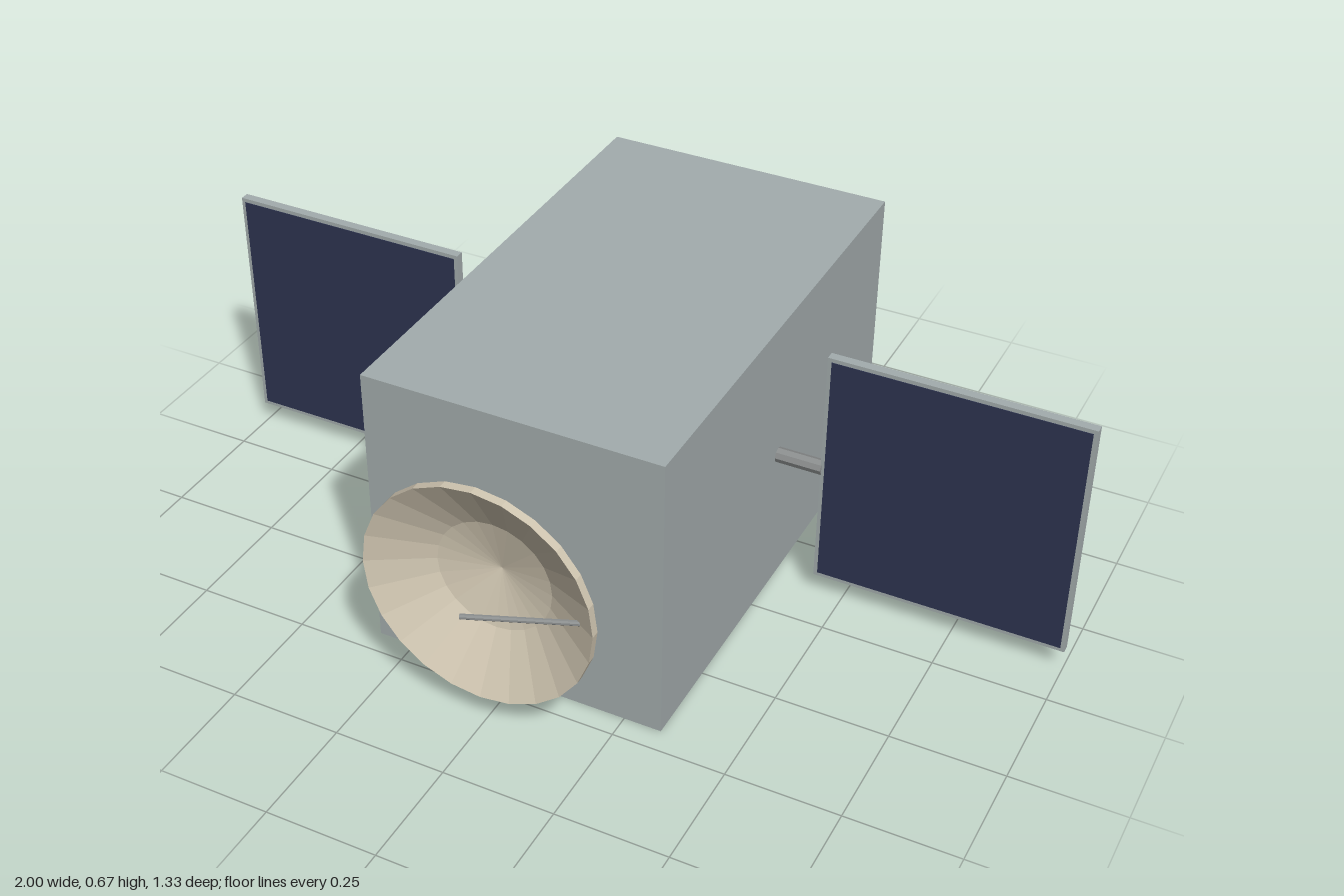
import * as THREE from 'three';

const material = (name, color) => {
  const m = new THREE.MeshStandardMaterial({ color });
  m.name = name;
  return m;
};

// Faceted copy of a geometry
function faceted(geometry) {
  const g = geometry.toNonIndexed();
  g.computeVertexNormals();
  return g;
}

// Low-poly round bar between two points
function bar(from, to, radius, sides) {
  const dir = to.clone().sub(from);
  const g = new THREE.CylinderGeometry(radius, radius, dir.length(), sides);
  g.applyQuaternion(new THREE.Quaternion().setFromUnitVectors(
    new THREE.Vector3(0, 1, 0), dir.clone().normalize()));
  const mid = from.clone().add(to).multiplyScalar(0.5);
  g.translate(mid.x, mid.y, mid.z);
  return faceted(g);
}

export function createModel() {
  const model = new THREE.Group();
  model.name = 'satellite';

  const hull = material('hull grey', 0xa3acad);
  const metal = material('strut grey', 0x8b8e8e);
  const navy = material('solar cell navy', 0x2d3450);
  const sand = material('dish sand', 0xd2c8b3);

  const add = (name, geometry, mat, x = 0, y = 0, z = 0, parent = model) => {
    const mesh = new THREE.Mesh(geometry, mat);
    mesh.name = name;
    mesh.position.set(x, y, z);
    parent.add(mesh);
    return mesh;
  };

  const midY = 0.335, midZ = -0.108;

  // Main body
  add('body', new THREE.BoxGeometry(0.667, 0.667, 1.11), hull, 0, 0.3335, midZ);

  // Solar wings: strut, panel and a thin cell plate on the front
  for (const [side, s] of [['left', 1], ['right', -1]]) {
    const wing = new THREE.Group();
    wing.name = side + 'Wing';
    model.add(wing);
    add('strut', bar(new THREE.Vector3(s * 0.32, midY, midZ),
      new THREE.Vector3(s * 0.437, midY, midZ), 0.017, 8), metal, 0, 0, 0, wing);
    add('panel', new THREE.BoxGeometry(0.565, 0.565, 0.02), hull, s * 0.7175, midY, midZ, wing);
    add('solarCells', new THREE.BoxGeometry(0.547, 0.547, 0.002), navy,
      s * 0.7175, midY, midZ + 0.0105, wing);
  }

  // Dish: conical back, short rim, two-step hollow front
  const profile = [[0, 0.463], [0.258, 0.577], [0.258, 0.597], [0.13, 0.522], [0, 0.49]]
    .map(([r, z]) => new THREE.Vector2(r, z));
  const dish = new THREE.LatheGeometry(profile, 24).rotateX(Math.PI / 2);
  add('dish', faceted(dish), sand, 0, midY, 0);

  // Feed arm from the dish wall to its axis
  add('feedArm', bar(new THREE.Vector3(0.22, midY, 0.568),
    new THREE.Vector3(0, midY, 0.657), 0.006, 8), metal);

  return model;
}
